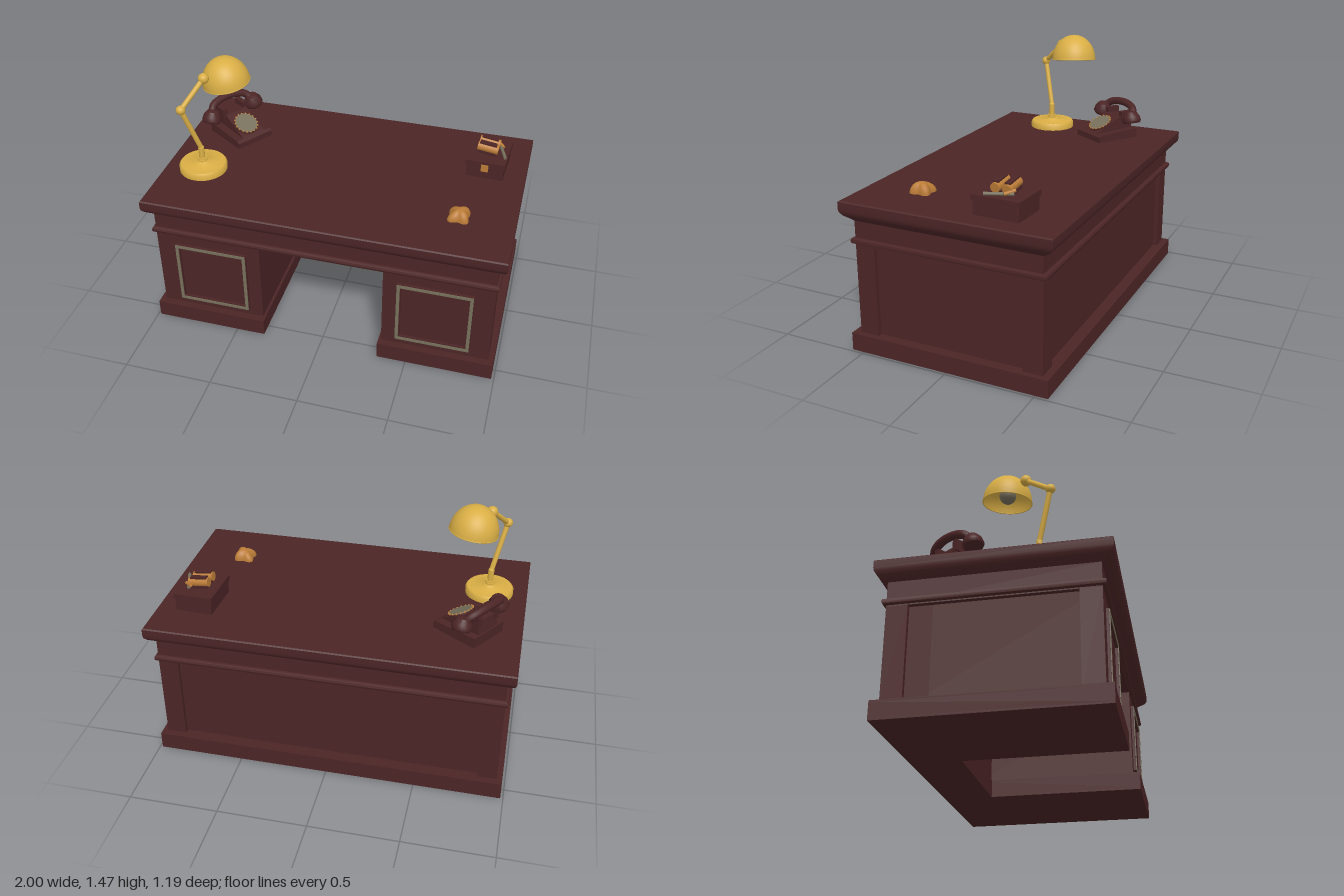
import * as THREE from 'three';
import { toCreasedNormals } from 'three/addons/utils/BufferGeometryUtils.js';

const mat = (name, color, side = THREE.FrontSide) => {
  const m = new THREE.MeshStandardMaterial({ color, side });
  m.name = name;
  return m;
};

export function createModel() {
  const wood = mat('dark red wood', 0x4c2526);
  const gold = mat('lamp gold', 0xd9ae45, THREE.DoubleSide);
  const amber = mat('amber brass', 0xbb7c37);
  const pewter = mat('dull pewter', 0x77705c);
  const V = (x, y, z) => new THREE.Vector3(x, y, z);
  const model = new THREE.Group();
  model.name = 'deskWithLampAndTelephone';

  const group = (name, x = 0, y = 0, z = 0, ry = 0) => {
    const g = new THREE.Group();
    g.name = name;
    g.position.set(x, y, z);
    g.rotation.y = ry;
    model.add(g);
    return g;
  };
  const add = (parent, name, geo, material, x = 0, y = 0, z = 0) => {
    const m = new THREE.Mesh(geo, material);
    m.name = name;
    m.position.set(x, y, z);
    parent.add(m);
    return m;
  };
  // box given by its limits
  const box = (parent, name, material, x0, x1, y0, y1, z0, z1) =>
    add(parent, name, new THREE.BoxGeometry(x1 - x0, y1 - y0, z1 - z0), material,
      (x0 + x1) / 2, (y0 + y1) / 2, (z0 + z1) / 2);
  // rod between two points
  const rod = (parent, name, material, a, b, r) => {
    const m = add(parent, name, new THREE.CylinderGeometry(r, r, a.distanceTo(b), 16), material);
    m.position.copy(a).lerp(b, 0.5);
    m.quaternion.setFromUnitVectors(V(0, 1, 0), b.clone().sub(a).normalize());
    return m;
  };
  // rectangular rings [halfX, halfZ, y] from bottom to top, capped
  const loft = (rings) => {
    const pos = [], idx = [];
    rings.forEach(([x, z, y]) => pos.push(-x, y, z, x, y, z, x, y, -z, -x, y, -z));
    for (let i = 0; i < rings.length - 1; i++) {
      for (let k = 0; k < 4; k++) {
        const a = i * 4 + k, b = i * 4 + (k + 1) % 4;
        idx.push(a, b, b + 4, a, b + 4, a + 4);
      }
    }
    const t = (rings.length - 1) * 4;
    idx.push(0, 2, 1, 0, 3, 2, t, t + 1, t + 2, t, t + 2, t + 3);
    const g = new THREE.BufferGeometry();
    g.setAttribute('position', new THREE.Float32BufferAttribute(pos, 3));
    g.setIndex(idx);
    return toCreasedNormals(g, 0.6);
  };
  const polygon = (pts) => new THREE.Shape(pts.map(([x, y]) => new THREE.Vector2(x, y)));
  const frame = (w, h, border, depth) => {
    const rect = (a, b) => [[-a, -b], [a, -b], [a, b], [-a, b]];
    const s = polygon(rect(w / 2, h / 2));
    s.holes.push(polygon(rect(w / 2 - border, h / 2 - border)));
    return new THREE.ExtrudeGeometry(s, { depth, bevelEnabled: false });
  };

  // ---- Desk ----
  const desk = group('desk');
  add(desk, 'deskTop', loft([[0.955, 0.53, 0.6], [0.955, 0.53, 0.735], [0.963, 0.545, 0.745], [0.985, 0.575, 0.765],
    [0.997, 0.592, 0.785], [1, 0.595, 0.8], [1, 0.595, 0.84], [0.993, 0.588, 0.846]]), wood);
  add(desk, 'friezeMoulding', loft([[0.957, 0.535, 0.607], [0.968, 0.548, 0.613], [0.971, 0.552, 0.625],
    [0.968, 0.548, 0.637], [0.957, 0.535, 0.643]]), wood);
  const u = polygon([[-0.97, 0.555], [-0.97, -0.555], [-0.33, -0.555], [-0.33, 0.285],
    [0.33, 0.285], [0.33, -0.555], [0.97, -0.555], [0.97, 0.555]]);
  const plinth = add(desk, 'plinth', new THREE.ExtrudeGeometry(u,
    { depth: 0.08, bevelEnabled: true, bevelThickness: 0.01, bevelSize: 0.0, bevelSegments: 1 }), wood, 0, 0.01, 0);
  plinth.rotation.x = -Math.PI / 2;
  plinth.scale.set(0.985 / 0.97, 0.57 / 0.555, 1);
  box(desk, 'backPanel', wood, -0.93, 0.93, 0.08, 0.605, -0.505, -0.3);
  for (const s of [-1, 1]) {
    const side = (name, x0, x1, z0, z1) =>
      box(desk, name, wood, Math.min(s * x0, s * x1), Math.max(s * x0, s * x1), 0.08, 0.61, z0, z1);
    side('pedestal', 0.35, 0.93, -0.4, 0.53);
    side('frontPost', 0.9, 0.955, 0.42, 0.53);
    side('backPost', 0.845, 0.955, -0.53, -0.42);
    // cabinet door with metal trim
    add(desk, 'doorFrame', frame(0.42, 0.4, 0.026, 0.016), wood, s * 0.637, 0.342, 0.529);
    add(desk, 'doorTrim', frame(0.414, 0.394, 0.018, 0.004), pewter, s * 0.637, 0.342, 0.545);
  }

  // ---- Lamp ----
  const lamp = group('lamp');
  const lathe = (pts, seg = 40) => new THREE.LatheGeometry(pts.map(([r, y]) => new THREE.Vector2(r, y)), seg);
  add(lamp, 'lampBase', toCreasedNormals(lathe([[0, 0], [0.135, 0], [0.135, 0.032], [0.127, 0.042],
    [0.04, 0.046], [0.03, 0.055], [0, 0.055]]), 0.7), gold, -0.785, 0.845, 0.195);
  for (const y of [0.905, 0.918])
    add(lamp, 'collar', new THREE.CylinderGeometry(0.026, 0.026, 0.007, 20), gold, -0.785, y, 0.2);
  const foot = V(-0.785, 0.89, 0.2), bend = V(-0.787, 0.985, 0.2);
  const elbow = V(-0.85, 1.257, 0.27), wrist = V(-0.765, 1.387, 0.125);
  rod(lamp, 'post', gold, foot, bend, 0.017);
  rod(lamp, 'lowerArm', gold, bend, elbow, 0.014);
  rod(lamp, 'upperArm', gold, elbow, wrist, 0.014);
  for (const [p, r] of [[bend, 0.017], [elbow, 0.026], [wrist, 0.03]])
    add(lamp, 'joint', new THREE.SphereGeometry(r, 20, 14), gold, p.x, p.y, p.z);
  const head = new THREE.Group();
  head.name = 'lampHead';
  head.position.set(-0.682, 1.317, 0.008);
  head.quaternion.setFromUnitVectors(V(0, 1, 0), V(-0.14, 1, 0.07).normalize());
  lamp.add(head);
  const dome = [];
  for (let i = 0; i <= 12; i++) {
    const a = i / 12 * Math.PI / 2;
    dome.push([0.133 * Math.cos(a), 0.15 * Math.sin(a)]);
  }
  add(head, 'shade', lathe(dome), gold);
  const rim = add(head, 'shadeRim', new THREE.TorusGeometry(0.132, 0.003, 8, 40), gold);
  rim.rotation.x = Math.PI / 2;
  add(head, 'bulb', new THREE.SphereGeometry(0.045, 20, 14), pewter, 0, 0.04, 0);
  add(head, 'socket', new THREE.CylinderGeometry(0.022, 0.022, 0.07, 16), pewter, 0, 0.1, 0);

  // ---- Telephone (its own front is +z) ----
  const phone = group('telephone', -0.775, 0.845, -0.257, 0.985);
  const wedge = (pts, width, name) => {
    // profile of [z, y] spread along x
    const g = new THREE.ExtrudeGeometry(polygon(pts.map(([z, y]) => [-z, y])),
      { depth: width, bevelEnabled: false });
    g.translate(0, 0, -width / 2).rotateY(Math.PI / 2);
    return add(phone, name, g, wood);
  };
  wedge([[-0.06, 0], [0.222, 0], [0.222, 0.035], [0.205, 0.046], [-0.06, 0.06]], 0.24, 'phoneBase');
  wedge([[-0.055, 0.04], [0.21, 0.04], [0.2, 0.052], [0.04, 0.132], [-0.04, 0.132]], 0.15, 'phoneBody');
  const dial = new THREE.Group();
  dial.name = 'dial';
  dial.position.set(0, 0.088, 0.132);
  dial.rotation.x = 0.464;
  phone.add(dial);
  add(dial, 'dialRim', new THREE.CylinderGeometry(0.072, 0.072, 0.008, 32), wood, 0, 0.002, 0);
  add(dial, 'dialPlate', new THREE.CylinderGeometry(0.066, 0.068, 0.01, 32), pewter, 0, 0.006, 0);
  for (let i = 0; i < 18; i++) {
    const a = i / 18 * Math.PI * 2;
    add(dial, 'dialStud', new THREE.SphereGeometry(0.006, 8, 6), amber,
      0.068 * Math.cos(a), 0.009, 0.068 * Math.sin(a));
  }
  const arc = new THREE.CatmullRomCurve3([V(-0.145, 0.15, 0), V(-0.11, 0.185, -0.03), V(0, 0.203, -0.045),
    V(0.11, 0.185, -0.03), V(0.145, 0.15, 0)]);
  add(phone, 'handsetGrip', new THREE.TubeGeometry(arc, 28, 0.023, 14), wood);
  for (const s of [-1, 1]) {
    const cup = add(phone, 'handsetCup', toCreasedNormals(lathe([[0, -0.035], [0.05, -0.035], [0.057, -0.022],
      [0.052, 0.004], [0.034, 0.032], [0, 0.042]], 24), 0.7), wood, s * 0.147, 0.142, 0.005);
    cup.rotation.z = s * 0.25;
    box(phone, 'cradleHorn', wood, s * 0.07 - 0.015, s * 0.07 + 0.015, 0.1, 0.165, -0.05, 0.03);
  }

  // ---- Small chest with brass bits on its lid ----
  const chest = group('smallChest', 0.777, 0.845, -0.248, -0.05);
  box(chest, 'chestBody', wood, -0.105, 0.105, 0, 0.072, -0.128, 0.128);
  box(chest, 'chestLid', wood, -0.112, 0.112, 0.076, 0.108, -0.135, 0.135);
  box(chest, 'chestSeam', wood, -0.1, 0.1, 0.07, 0.078, -0.123, 0.123);
  box(chest, 'clasp', amber, -0.02, 0.02, 0.05, 0.092, 0.12, 0.141);
  const bits = new THREE.Group();
  bits.name = 'brassRolls';
  bits.position.set(-0.005, 0.143, 0);
  bits.rotation.z = -0.12;
  chest.add(bits);
  for (const z of [-0.033, 0.033]) {
    rod(bits, 'roll', amber, V(-0.058, 0, z), V(0.058, 0, z), 0.026);
    box(bits, 'rollBand', wood, -0.05, 0.045, 0.024, 0.032, z - 0.016, z + 0.016);
  }
  box(bits, 'rollTray', wood, -0.05, 0.05, -0.03, -0.015, -0.06, 0.06);
  rod(chest, 'stick', pewter, V(0.045, 0.12, -0.07), V(0.1, 0.117, 0.07), 0.009);
  rod(chest, 'stickEnd', amber, V(0.03, 0.135, -0.07), V(0.075, 0.122, -0.03), 0.009);

  // ---- Four-lobed paperweight ----
  const lump = new THREE.SphereGeometry(1, 32, 10, 0, Math.PI * 2, 0, Math.PI / 2);
  const p = lump.attributes.position;
  for (let i = 0; i < p.count; i++) {
    const x = p.getX(i), y = p.getY(i), z = p.getZ(i);
    const r = 0.06 * (1 - 0.2 * Math.cos(4 * Math.atan2(z, x)));
    p.setXYZ(i, x * r, y * (0.06 + 0.014 * x), z * r);
  }
  lump.computeVertexNormals();
  add(group('paperweight', 0.695, 0.845, 0.275), 'lobedBrass', lump, amber);

  return model;
}
